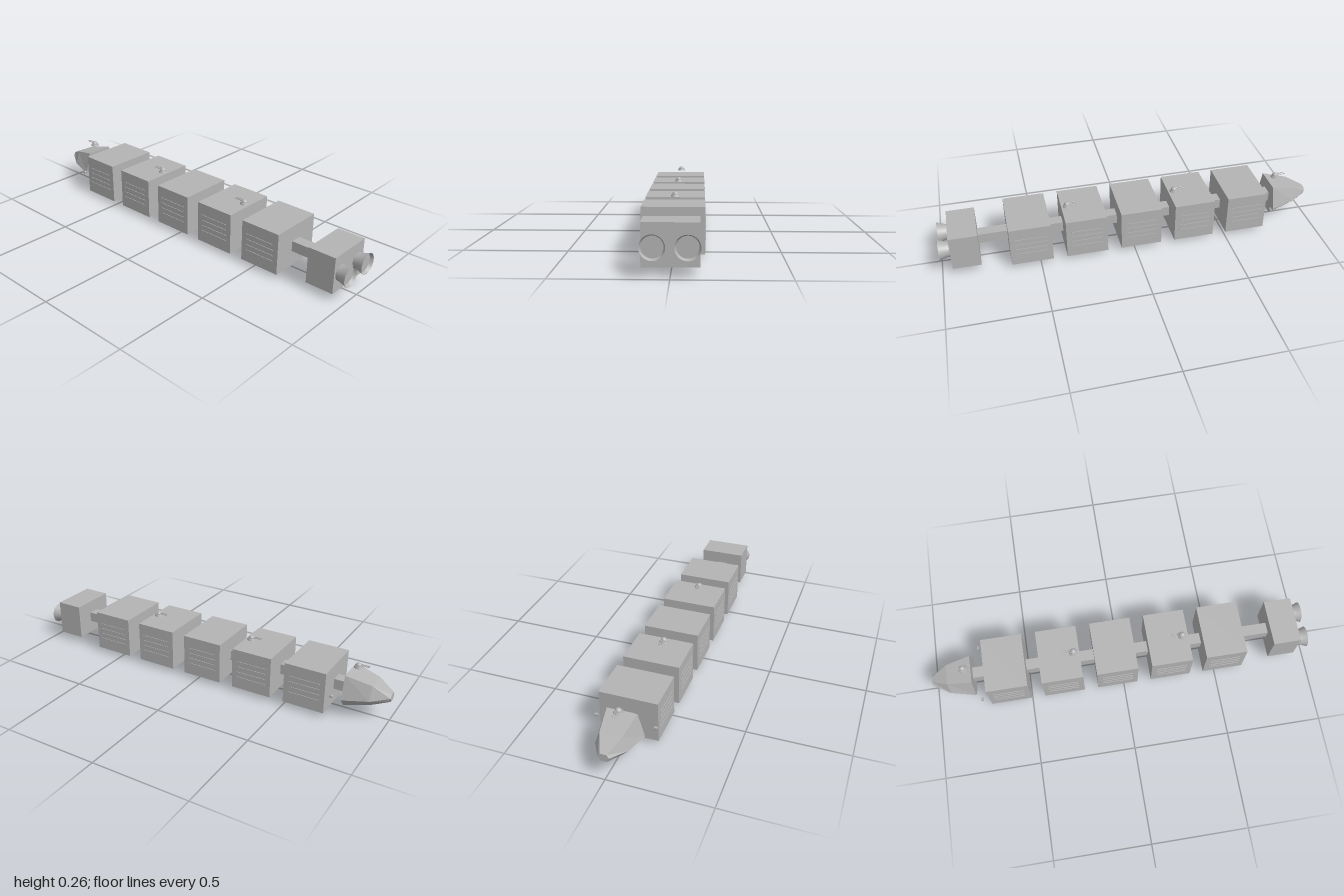
import * as THREE from 'three';

const MID = 0.131; // height of the spine axis

export function createModel() {
  const model = new THREE.Group();
  model.name = 'cargoShip';
  const hull = new THREE.MeshStandardMaterial({ color: 0xb4b4b4 });
  hull.name = 'hullGrey';

  const add = (name, geometry, x = 0, y = 0, z = 0, parent = model) => {
    const mesh = new THREE.Mesh(geometry, hull);
    mesh.name = name;
    mesh.position.set(x, y, z);
    parent.add(mesh);
    return mesh;
  };
  const box = (w, h, d) => new THREE.BoxGeometry(w, h, d);

  // Spine joining nose, containers and engine block
  add('spine', box(0.058, 0.054, 1.592), 0, MID, 0.006);

  // Five cargo containers with four slats on each side
  for (let i = 0; i < 5; i++) {
    const container = new THREE.Group();
    container.name = 'container';
    container.position.set(0, MID, 0.5425 - i * 0.288);
    model.add(container);
    add('containerBody', box(0.288, 0.215, 0.215), 0, 0, 0, container);
    for (const side of [-1, 1]) {
      for (let k = 0; k < 4; k++) {
        add('slat', box(0.004, 0.004, 0.16), side * 0.145, 0.044 - k * 0.0293, 0, container);
      }
    }
  }

  // Engine block with two flared nozzles
  add('engineBlock', box(0.244, 0.187, 0.144), 0, MID, 0.873);
  const lathe = (points) => new THREE.LatheGeometry(points.map(([r, y]) => new THREE.Vector2(r, y)), 32).rotateX(Math.PI / 2);
  for (const side of [-1, 1]) {
    const nozzle = new THREE.Group();
    nozzle.name = 'nozzle';
    nozzle.position.set(side * 0.072, MID, 0.944);
    model.add(nozzle);
    add('nozzleBell', lathe([[0.039, 0], [0.041, 0.015], [0.046, 0.035], [0.054, 0.056]]), 0, 0, 0, nozzle);
    add('nozzleRim', lathe([[0.054, 0.056], [0.047, 0.04]]), 0, 0, 0, nozzle);
    add('nozzleFloor', lathe([[0.047, 0.04], [0, 0.04]]), 0, 0, 0, nozzle);
  }

  // Faceted nose
  add('nose', noseGeometry());

  // Small side thrusters behind the nose
  for (const side of [-1, 1]) {
    add('sideThruster', new THREE.CylinderGeometry(0.007, 0.007, 0.015, 8).rotateZ(Math.PI / 2), side * 0.1445, MID, -0.75);
  }

  // Twin-barrel turrets, alternating above and below
  const turret = (y, z, below) => {
    const group = new THREE.Group();
    group.name = below ? 'lowerTurret' : 'upperTurret';
    group.position.set(0, y, z);
    if (below) group.rotation.z = Math.PI;
    model.add(group);
    add('turretBase', new THREE.CylinderGeometry(0.019, 0.023, 0.01, 16), 0, 0.005, 0, group);
    if (below) {
      add('turretDrum', new THREE.CylinderGeometry(0.013, 0.013, 0.013, 16), 0, 0.0165, 0, group);
    } else {
      add('turretDome', new THREE.SphereGeometry(0.016, 16, 8, 0, Math.PI * 2, 0, Math.PI / 2), 0, 0.009, 0, group);
    }
    for (const side of [-1, 1]) {
      add('barrel', new THREE.CylinderGeometry(0.0022, 0.0022, 0.048, 8).rotateX(Math.PI / 2), side * 0.006, below ? 0.011 : 0.016, -0.03, group);
    }
  };
  for (let i = 0; i < 3; i++) {
    turret(0.2385, 0.33 - i * 0.576, false);
    turret(0.0235, 0.62 - i * 0.576, true);
  }
  return model;
}

// Six-sided nose lofted through three cross-sections
function noseGeometry() {
  // z, half widths at top, middle and bottom, then the three heights
  const sections = [
    [-0.785, 0.074, 0.106, 0.06, 0.218, 0.098, 0.048],
    [-0.915, 0.053, 0.078, 0.045, 0.188, 0.116, 0.082],
    [-1.0, 0.015, 0.027, 0.015, 0.149, 0.132, 0.11],
  ];
  const rings = sections.map(([z, a, w, b, top, mid, bottom]) => [
    [a, top, z], [-a, top, z], [-w, mid, z], [-b, bottom, z], [b, bottom, z], [w, mid, z],
  ]);
  const out = [];
  const tri = (...corners) => corners.forEach((c) => out.push(...c));
  for (let s = 0; s < 2; s++) {
    const p = rings[s], q = rings[s + 1];
    for (let i = 0; i < 6; i++) {
      const j = (i + 1) % 6;
      tri(p[i], q[i], p[j]);
      tri(p[j], q[i], q[j]);
    }
  }
  for (let i = 1; i < 5; i++) {
    tri(rings[0][0], rings[0][i], rings[0][i + 1]);
    tri(rings[2][0], rings[2][i + 1], rings[2][i]);
  }
  const geometry = new THREE.BufferGeometry();
  geometry.setAttribute('position', new THREE.Float32BufferAttribute(out, 3));
  geometry.computeVertexNormals();
  return geometry;
}
